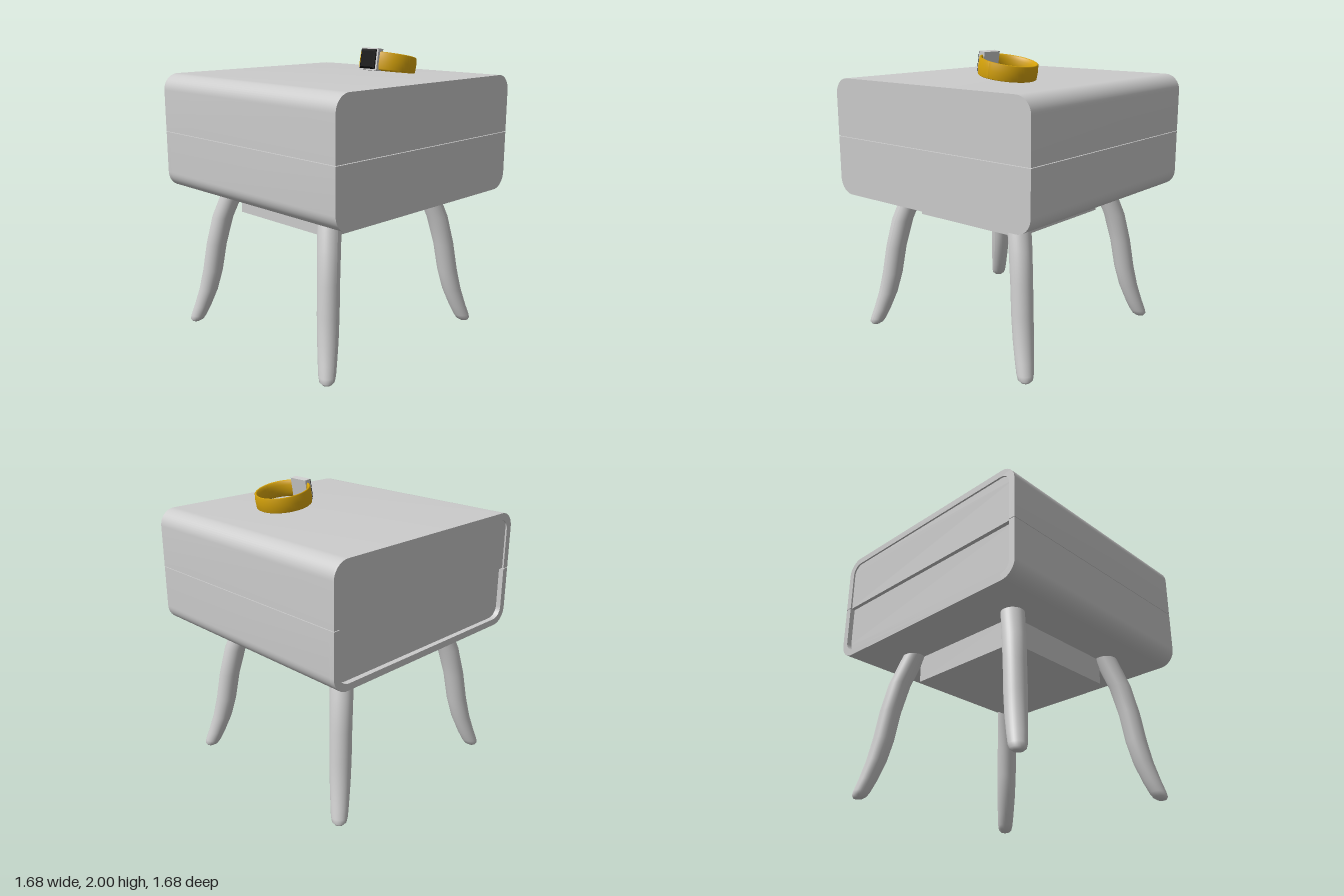
import * as THREE from 'three';
import { toCreasedNormals } from 'three/addons/utils/BufferGeometryUtils.js';

const grey = new THREE.MeshStandardMaterial({ color: 0xcccccc });
const gold = new THREE.MeshStandardMaterial({ color: 0xd9a50a });
const black = new THREE.MeshStandardMaterial({ color: 0x050505 });

const HALF = 0.838, MID = 1.412, GAP = 0.002, RISE = 0.398;

function part(parent, name, geometry, material = grey) {
  const mesh = new THREE.Mesh(geometry, material);
  mesh.name = name;
  parent.add(mesh);
  return mesh;
}

// Points of a half cabinet outline: flat at the seam, rounded at the far corners
function halfOutline(sign, w, h, r) {
  const points = [new THREE.Vector2(w, sign * GAP)];
  for (const side of [1, -1]) {
    for (let i = 0; i <= 12; i++) {
      const a = (i / 12) * Math.PI / 2;
      const c = side > 0 ? Math.cos(a) : Math.sin(a);
      const s = side > 0 ? Math.sin(a) : Math.cos(a);
      points.push(new THREE.Vector2(side * (w - r + r * c), sign * (h - r + r * s)));
    }
  }
  points.push(new THREE.Vector2(-w, sign * GAP));
  return points;
}

function extrude(points, z0, z1) {
  const geo = new THREE.ExtrudeGeometry(new THREE.Shape(points), { depth: z1 - z0, bevelEnabled: false });
  geo.translate(0, MID, z0);
  return toCreasedNormals(geo, 0.5);
}

// Half of the cabinet: solid drawer block plus the rim around the back recess
function cabinetHalf(sign, recess) {
  const group = new THREE.Group();
  group.name = sign > 0 ? 'upperDrawer' : 'lowerDrawer';
  const outer = halfOutline(sign, HALF, RISE, 0.11);
  const inner = halfOutline(sign, HALF - 0.045, RISE - 0.045, 0.075);
  part(group, 'drawerBlock', extrude(outer, -HALF + recess, HALF));
  part(group, 'backRim', extrude([...outer, ...inner.reverse()], -HALF, -HALF + recess));
  return group;
}

// Round tapered leg whose rings are shifted along a gently bowed splay
function legGeometry(sx, sz) {
  const profile = [[0, 0], [0.03, 0.004], [0.048, 0.02], [0.055, 0.05], [0.06, 0.12], [0.067, 0.25],
    [0.071, 0.4], [0.072, 0.6], [0.075, 0.8], [0.077, 1.02]].map(p => new THREE.Vector2(...p));
  const geo = new THREE.LatheGeometry(profile, 32);
  const pos = geo.attributes.position;
  for (let i = 0; i < pos.count; i++) {
    const t = pos.getY(i) / 1.02;
    const splay = 0.235 * (1 - t) - 0.018 * Math.sin(2 * Math.PI * t);
    pos.setX(i, pos.getX(i) + sx * (0.475 + splay));
    pos.setZ(i, pos.getZ(i) + sz * (0.482 + splay * 0.9));
  }
  geo.computeVertexNormals();
  return geo;
}

function createRing() {
  const ring = new THREE.Group();
  ring.name = 'ring';

  // Band: nearly straight outside, domed inside, slightly wider toward the setting
  const band = [[0.182, -0.052], [0.189, -0.047], [0.192, 0], [0.189, 0.047], [0.182, 0.052],
    [0.174, 0.046], [0.167, 0.025], [0.165, 0], [0.167, -0.025], [0.174, -0.046], [0.182, -0.052]];
  const bandGeo = new THREE.LatheGeometry(band.map(p => new THREE.Vector2(...p)), 64);
  const pos = bandGeo.attributes.position;
  for (let i = 0; i < pos.count; i++) {
    pos.setY(i, pos.getY(i) * (1.06 - 0.5 * pos.getX(i)));
  }
  bandGeo.computeVertexNormals();
  const bandMaterial = gold.clone();
  bandMaterial.side = THREE.DoubleSide;
  part(ring, 'band', bandGeo, bandMaterial);

  // Square setting with a chamfered dark stone facing outward
  part(ring, 'setting', new THREE.BoxGeometry(0.046, 0.145, 0.148)).position.set(-0.17, 0.005, 0);
  const square = new THREE.Shape([[-1, -1], [1, -1], [1, 1], [-1, 1]].map(([x, y]) => new THREE.Vector2(x * 0.052, y * 0.052)));
  const stoneGeo = new THREE.ExtrudeGeometry(square, {
    depth: 0.008, bevelThickness: 0.01, bevelSize: 0.012, bevelSegments: 1 });
  stoneGeo.rotateY(-Math.PI / 2);
  part(ring, 'stone', stoneGeo, black).position.set(-0.197, 0.005, 0);

  ring.position.set(0.212, 1.89, 0.287);
  ring.rotation.z = -0.16;
  return ring;
}

export function createModel() {
  const model = new THREE.Group();
  model.name = 'nightstand';

  // Two stacked drawers; the lower one sits deeper in the back rim
  model.add(cabinetHalf(1, 0.012), cabinetHalf(-1, 0.035));

  // Base: solid apron with four splayed legs
  const base = new THREE.Group();
  base.name = 'base';
  base.position.set(-0.036, 0, -0.024);
  part(base, 'apron', new THREE.BoxGeometry(0.89, 0.185, 0.89)).position.y = 0.923;
  for (const sx of [1, -1]) {
    for (const sz of [1, -1]) {
      part(base, `${sz > 0 ? 'front' : 'back'}${sx > 0 ? 'Left' : 'Right'}Leg`, legGeometry(sx, sz));
    }
  }
  model.add(base);

  model.add(createRing());
  return model;
}
